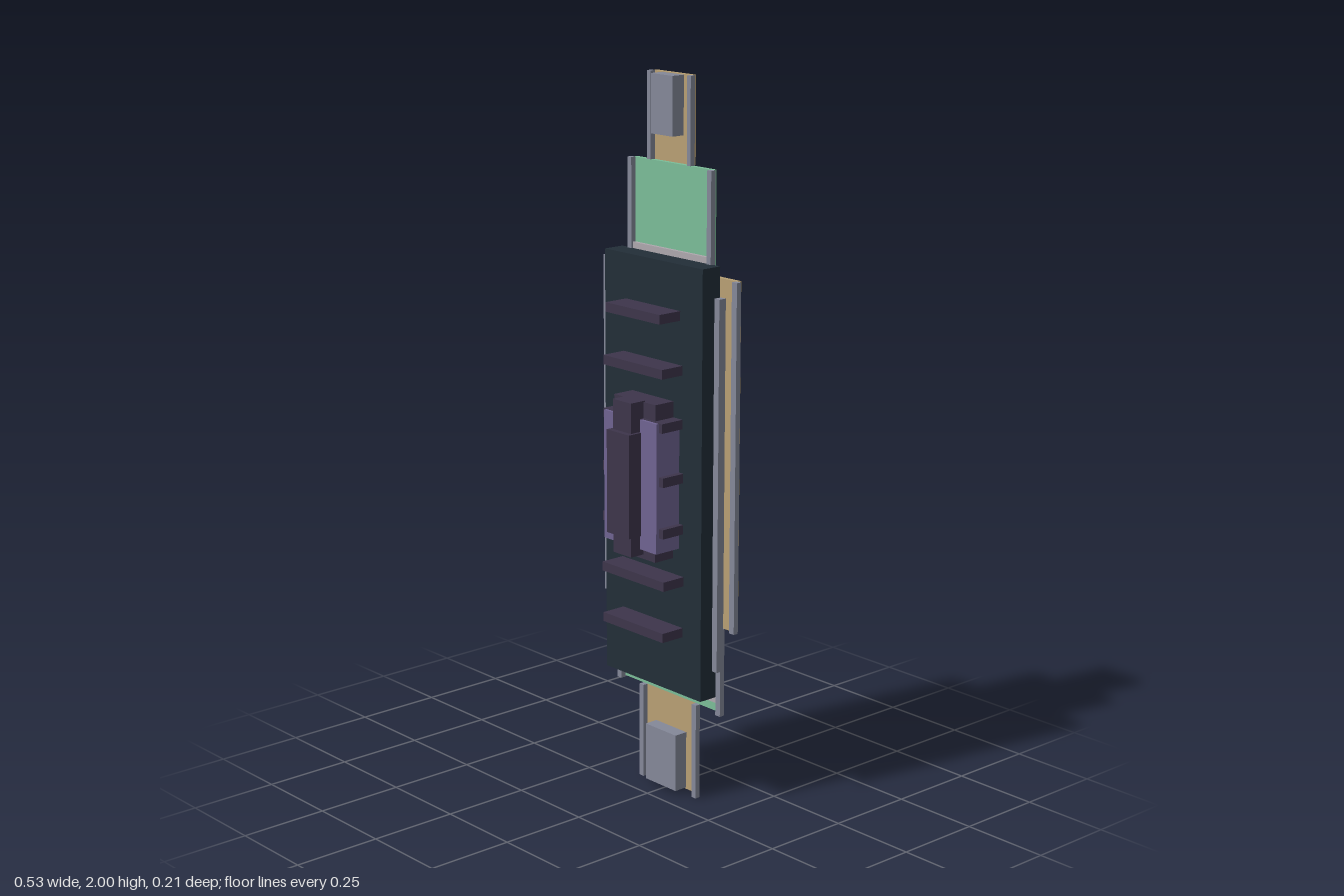
import * as THREE from 'three';

const mat = (name, color) => Object.assign(new THREE.MeshStandardMaterial({ color }), { name });

export function createModel() {
  const tan = mat('tan panel', 0xb8a074);
  const green = mat('green panel', 0x7bbd98);
  const hull = mat('dark slate', 0x222e38);
  const steel = mat('steel grey', 0x848899);
  const plum = mat('dark plum', 0x3d354b);
  const violet = mat('violet', 0x6f6391);
  const pale = mat('pale grey', 0xaea8ae);
  const black = mat('black', 0x15181c);

  const root = new THREE.Group();
  root.name = 'layeredPanelCraft';

  // Box given by its extents along each axis
  const box = (name, m, x0, x1, y0, y1, z0, z1, parent = root) => {
    const mesh = new THREE.Mesh(new THREE.BoxGeometry(x1 - x0, y1 - y0, z1 - z0), m);
    mesh.position.set((x0 + x1) / 2, (y0 + y1) / 2, (z0 + z1) / 2);
    mesh.name = name;
    parent.add(mesh);
    return mesh;
  };
  // Matching pair on both sides of the centre line
  const pair = (name, m, x0, x1, ...rest) => {
    box(name + 'Left', m, x0, x1, ...rest);
    box(name + 'Right', m, -x1, -x0, ...rest);
  };

  // Flat panels with a rail along each long edge
  const panels = [
    ['topTab', tan, 0.075, 1.765, 2.0, 0.071, 0.085],
    ['upperPanel', green, 0.155, 1.48, 1.762, 0.149, 0.165],
    ['mainPanel', tan, 0.252, 0.52, 1.482, 0.246, 0.265],
    ['lowerPanel', green, 0.197, 0.275, 0.52, 0.195, 0.213],
    ['bottomTab', tan, 0.103, 0.008, 0.275, 0.1, 0.117],
  ];
  for (const [name, m, w, y0, y1, r0, r1] of panels) {
    box(name, m, -w, w, y0, y1, -0.103, -0.09);
    const railBottom = name === 'bottomTab' ? 0 : name === 'lowerPanel' ? 0.27 : y0;
    pair(name + 'Rail', steel, r0, r1, railBottom, y1, -0.09, -0.075);
  }

  // Blocks on the end tabs
  box('topBlock', steel, -0.042, 0.042, 1.84, 1.998, -0.09, -0.05);
  box('bottomBlock', steel, -0.062, 0.062, 0.012, 0.177, -0.09, -0.05);

  // Main body on its pale backing plates
  box('upperBacking', pale, -0.15, 0.15, 0.9, 1.532, -0.09, -0.08);
  box('lowerBacking', pale, -0.19, 0.19, 0.303, 0.9, -0.09, -0.08);
  box('body', hull, -0.194, 0.194, 0.322, 1.515, -0.082, -0.02);
  pair('bodyRail', steel, 0.193, 0.213, 0.4, 1.432, -0.085, -0.062);

  // Cross ribs on the front
  const ribs = [[1.378, 0.108], [1.232, 0.118], [1.085, 0.118], [0.937, 0.122],
    [0.794, 0.122], [0.648, 0.125], [0.502, 0.122]];
  for (const [y, w] of ribs) box('crossRib', plum, -w, w, y - 0.013, y + 0.013, -0.02, 0.053);

  // Central assembly
  box('coreBase', plum, -0.083, 0.083, 0.705, 1.142, -0.02, 0.045);
  pair('coreWing', violet, 0.04, 0.106, 0.737, 1.097, -0.02, 0.062);
  box('coreBar', plum, -0.036, 0.036, 0.718, 1.145, 0.04, 0.09);
  box('coreCap', plum, -0.045, 0.045, 0.775, 1.062, 0.06, 0.105);

  // Back: central spine and cross strips
  box('backSpine', pale, -0.026, 0.026, 0.43, 1.54, -0.1045, -0.102);
  for (let i = 0; i < 12; i++) {
    const y = 1.52 - i * 0.109;
    const w = i > 9 ? 0.168 : 0.152;
    box('backStrip', pale, -w, w, y - 0.019, y + 0.019, -0.1042, -0.102);
  }

  // Back: rows of small studs between the strips
  const studXs = [0.02, 0.045, 0.08, 0.115];
  for (let i = 0; i < 13; i++) {
    const y = i < 2 ? 1.68 - i * 0.09 : 1.465 - (i - 2) * 0.109;
    for (const x of i ? studXs : studXs.slice(0, 2)) {
      pair('stud', i % 2 ? pale : green, x - 0.005, x + 0.005, y - 0.015, y + 0.015, -0.108, -0.102);
    }
  }

  // Back: black markers down one side
  for (let i = 0; i < 5; i++) {
    const y = 1.31 - i * 0.2175;
    box('sideMarker', black, 0.155, 0.166, y - 0.024, y + 0.024, -0.108, -0.102);
    box('sideMarker', black, 0.17, 0.182, y - 0.024, y + 0.024, -0.108, -0.102);
  }
  return root;
}
